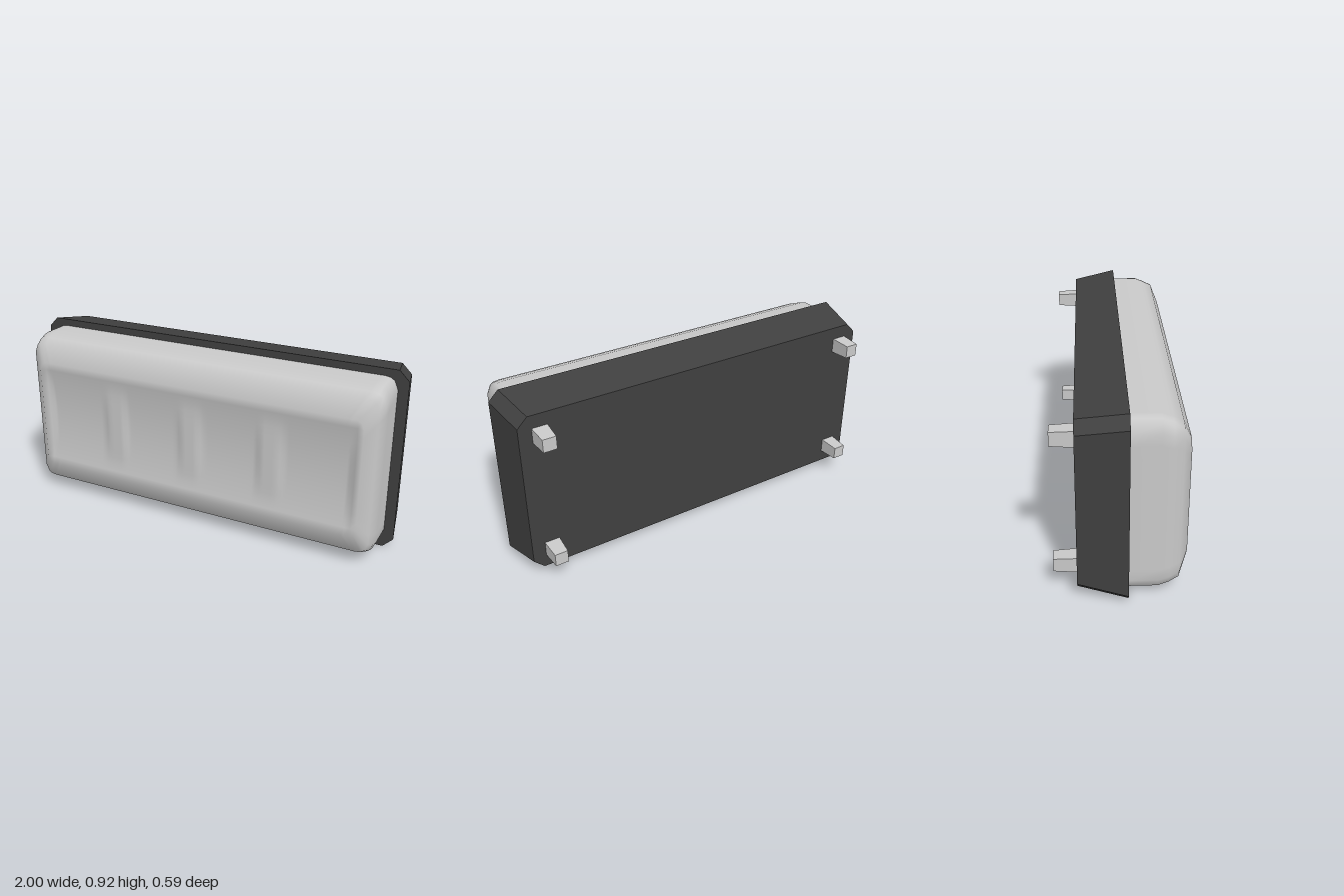
import * as THREE from 'three';
import { mergeVertices } from 'three/addons/utils/BufferGeometryUtils.js';

const MID_Y = 0.46;
const FRONT = 0.034, BACK = -0.19, PEG_TIP = -0.294;
const clamp = THREE.MathUtils.clamp;
const smooth = THREE.MathUtils.smoothstep;

// Octagonal tray, narrower at the back
function backingGeometry() {
  const w = 1, h = 0.46, c = 0.05;
  const outline = new THREE.Shape([
    [w, h - c], [w - c, h], [c - w, h], [-w, h - c],
    [-w, c - h], [c - w, -h], [w - c, -h], [w, c - h],
  ].map(([x, y]) => new THREE.Vector2(x, y)));
  const geo = new THREE.ExtrudeGeometry(outline, { depth: FRONT - BACK, bevelEnabled: false });
  geo.translate(0, 0, BACK);
  const p = geo.attributes.position;
  for (let i = 0; i < p.count; i++) {
    if (p.getZ(i) > BACK + 0.01) continue;
    p.setX(i, p.getX(i) - Math.sign(p.getX(i)) * 0.041);
    p.setY(i, p.getY(i) - Math.sign(p.getY(i)) * 0.041);
  }
  geo.computeVertexNormals();
  return geo;
}

// Depth of the dished panel: a shallow trough with sloped ends,
// and three level ribs that fill its deepest part
function panelDepth(x, y) {
  const trough = 0.03 * (1 - (y / 0.295) ** 2);
  const dish = Math.max(0, Math.min(trough, (0.88 - Math.abs(x)) * 0.5));
  let rib = 0;
  for (const cx of [-0.43, 0, 0.43]) rib += 1 - smooth(Math.abs(x - cx), 0.045, 0.07);
  return dish - rib * Math.max(0, dish - 0.016);
}

// Grid lines from -1 to 1, mirrored about the middle
const mirrored = (half) => [...half.map((v) => -v), 0, ...half.slice().reverse()];

// Cushion: nested rounded rectangles round the rim, then the dished panel
function cushionGeometry() {
  // half width, half height, z, corner radius
  const rings = [
    [0.95, 0.424, FRONT, 0.06], [0.95, 0.424, 0.165, 0.06], [0.948, 0.406, 0.213, 0.06],
    [0.933, 0.387, 0.257, 0.055], [0.88, 0.295, 0.295, 0.04],
  ];
  const inner = Array.from({ length: 40 }, (_, i) => 0.92 * (1 - i / 40));
  const xs = mirrored([1, 0.965, 0.935, ...inner]);
  const ys = mirrored([1, 0.86, 0.73, 0.6, 0.45, 0.3, 0.15]);
  const K = rings.length - 1, nx = xs.length - 1, ny = ys.length - 1;
  const cols = nx + 2 * K, rows = ny + 2 * K;
  const geo = new THREE.PlaneGeometry(1, 1, cols, rows);
  const p = geo.attributes.position;
  for (let n = 0; n < p.count; n++) {
    const i = n % (cols + 1), j = Math.floor(n / (cols + 1));
    const k = Math.min(i, j, cols - i, rows - j, K);
    const [hx, hy, z, r] = rings[k];
    let x = hx * xs[clamp(i - K, 0, nx)];
    let y = -hy * ys[clamp(j - K, 0, ny)];
    // Pull corner points onto the corner arc
    const qx = Math.abs(x) - (hx - r), qy = Math.abs(y) - (hy - r);
    if (qx > 0 && qy > 0) {
      const f = Math.min(1, r / Math.hypot(qx, qy));
      x = Math.sign(x) * (hx - r + qx * f);
      y = Math.sign(y) * (hy - r + qy * f);
    }
    p.setXYZ(n, x, y, k === K ? z - panelDepth(x, y) : z);
  }
  geo.deleteAttribute('uv');
  geo.deleteAttribute('normal');
  const merged = mergeVertices(geo, 1e-5);
  merged.computeVertexNormals();
  return merged;
}

// Square peg, slightly tapered towards its tip
function pegGeometry() {
  const length = BACK - PEG_TIP;
  const geo = new THREE.CylinderGeometry(0.0375 * Math.SQRT2, 0.0325 * Math.SQRT2, length, 4, 1).toNonIndexed();
  geo.rotateY(Math.PI / 4);
  geo.rotateX(Math.PI / 2);
  geo.computeVertexNormals();
  return geo;
}

export function createModel() {
  const group = new THREE.Group();
  const darkGrey = new THREE.MeshStandardMaterial({ color: 0x404040 });
  darkGrey.name = 'dark grey';
  const lightGrey = new THREE.MeshStandardMaterial({ color: 0xc9c9c9 });
  lightGrey.name = 'light grey';

  const add = (name, geo, mat, x, y, z) => {
    const mesh = new THREE.Mesh(geo, mat);
    mesh.name = name;
    mesh.position.set(x, y, z);
    group.add(mesh);
  };

  add('backing', backingGeometry(), darkGrey, 0, MID_Y, 0);
  add('cushion', cushionGeometry(), lightGrey, 0, MID_Y, 0);

  // Four mounting pegs on the back
  const peg = pegGeometry();
  for (const sx of [-1, 1])
    for (const sy of [-1, 1])
      add('mountingPeg', peg, lightGrey, sx * 0.857, MID_Y + sy * 0.3175, (BACK + PEG_TIP) / 2);

  return group;
}
